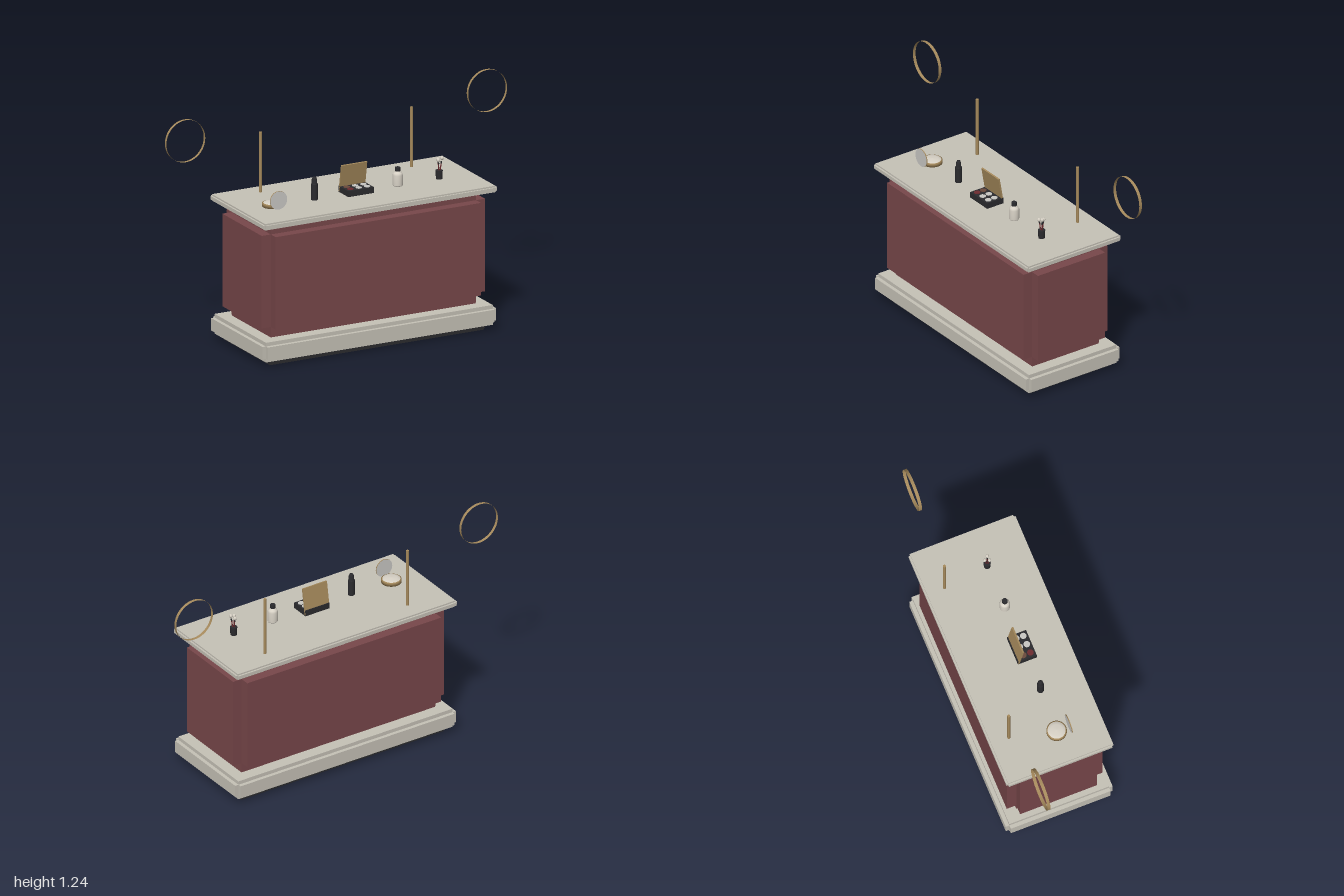
import * as THREE from 'three';

const mat = (name, color, side = THREE.FrontSide) => {
  const m = new THREE.MeshStandardMaterial({ color, side });
  m.name = name;
  return m;
};

export function createModel() {
  const stone = mat('stone', 0xc6c2b7);
  const burgundy = mat('burgundy', 0x78474a);
  const black = mat('black', 0x2b2b2e);
  const gold = mat('gold', 0xa68a5c, THREE.DoubleSide);
  const silver = mat('silver', 0xc9c8c4);
  const cream = mat('cream', 0xd8d2c6);
  const wine = mat('wine', 0x6e2c30);
  const brown = mat('brown', 0x6b4a3c);

  const model = new THREE.Group();
  model.name = 'vanityCounter';

  const add = (parent, name, geo, material, x = 0, y = 0, z = 0) => {
    const mesh = new THREE.Mesh(geo, material);
    mesh.name = name;
    mesh.position.set(x, y, z);
    parent.add(mesh);
    return mesh;
  };
  const group = (name, x, y, z) => {
    const g = new THREE.Group();
    g.name = name;
    g.position.set(x, y, z);
    model.add(g);
    return g;
  };
  const lathe = (pts, n = 24) =>
    new THREE.LatheGeometry(pts.map(([r, y]) => new THREE.Vector2(r, y)), n);

  // Block with stepped edges: three crossing boxes, each full size in one axis
  const steppedBlock = (name, material, hx, y0, y1, hz, sx, sy, sz) => {
    const g = group(name, 0, (y0 + y1) / 2, 0);
    const w = 2 * hx, h = y1 - y0, d = 2 * hz;
    const face = (n, a, b, c) => add(g, name + n, new THREE.BoxGeometry(a, b, c), material);
    face('Sides', w, h - 2 * sy, d - 2 * sz);
    face('TopBottom', w - 2 * sx, h, d - 2 * sz);
    face('FrontBack', w - 2 * sx, h - 2 * sy, d);
  };
  steppedBlock('plinth', black, 0.638, 0, 0.038, 0.26, 0.01, 0.012, 0.01);
  steppedBlock('base', stone, 0.685, 0.028, 0.135, 0.297, 0.02, 0.02, 0.02);
  steppedBlock('body', burgundy, 0.655, 0.14, 0.747, 0.266, 0.053, 0.053, 0.053);
  steppedBlock('countertop', stone, 0.685, 0.747, 0.782, 0.297, 0.01, 0.008, 0.01);
  add(model, 'bodyFoot', new THREE.BoxGeometry(1.2, 0.02, 0.42), burgundy, 0, 0.138, 0);

  // Posts and hoops on both sides
  for (const s of [-1, 1]) {
    add(model, 'post', new THREE.CylinderGeometry(0.008, 0.008, 0.325, 12), gold, s * 0.443, 0.9475, -0.191);
    const hoop = add(model, 'hoop',
      new THREE.CylinderGeometry(0.114, 0.114, 0.017, 48, 1, true), gold, s * 0.885, 1.13, -0.191);
    hoop.rotation.x = Math.PI / 2;
  }

  const top = 0.787;

  // Powder compact with upright mirror
  const compact = group('compact', -0.505, top, 0.05);
  add(compact, 'compactCase', lathe([[0, 0], [0.053, 0], [0.053, 0.018], [0.047, 0.02]]), gold);
  add(compact, 'compactPowder', lathe([[0.047, 0.016], [0.047, 0.02], [0.03, 0.024], [0, 0.026]]), cream);
  const lid = add(compact, 'compactLid', new THREE.CylinderGeometry(0.05, 0.05, 0.004, 32), gold, 0, 0.05, 0.068);
  lid.rotation.x = Math.PI / 2;
  for (const s of [-1, 1]) {
    const mirror = add(compact, 'compactMirror', new THREE.CircleGeometry(0.0495, 32), silver, 0, 0.05, 0.068 + s * 0.003);
    if (s < 0) mirror.rotation.y = Math.PI;
  }

  // Lipstick
  const lipstick = group('lipstick', -0.262, top, 0.058);
  add(lipstick, 'lipstickTube', new THREE.CylinderGeometry(0.018, 0.018, 0.085, 20), black, 0, 0.0425, 0);
  add(lipstick, 'lipstickCap',
    lathe([[0.018, 0.085], [0.014, 0.09], [0.014, 0.11], [0.009, 0.122], [0, 0.124]], 20), black);

  // Eye shadow palette: tray, six pans and a leaning lid
  const palette = group('palette', -0.015, top, 0.055);
  add(palette, 'paletteTray', new THREE.BoxGeometry(0.15, 0.032, 0.105), black, 0, 0.016, 0);
  for (let i = 0; i < 6; i++) {
    const col = i % 3, row = Math.floor(i / 3);
    const color = col > 0 ? silver : row ? wine : brown;
    add(palette, 'pan', new THREE.CylinderGeometry(0.017, 0.017, 0.004, 20), color,
      (col - 1) * 0.049, 0.033, row ? 0.027 : -0.012);
  }
  const paletteLid = add(palette, 'paletteLid',
    new THREE.BoxGeometry(0.15, 0.148, 0.009).translate(0, 0.074, 0), gold, 0, 0.004, -0.048);
  paletteLid.rotation.x = 0.17;

  // Cream bottle
  const bottle = group('bottle', 0.227, top, 0.057);
  add(bottle, 'bottleBody',
    lathe([[0, 0], [0.024, 0], [0.027, 0.005], [0.027, 0.058], [0.023, 0.07], [0.011, 0.078], [0.011, 0.084]]), cream);
  add(bottle, 'bottleCap', new THREE.CylinderGeometry(0.014, 0.014, 0.02, 20), black, 0, 0.09, 0);

  // Brush cup with splayed brushes
  const cup = group('brushCup', 0.47, top, 0.057);
  add(cup, 'cup', new THREE.CylinderGeometry(0.019, 0.017, 0.046, 20), black, 0, 0.023, 0);
  const brushes = [[-0.1, 0.1, 0.104], [0.13, 0.06, 0.112], [0, -0.14, 0.102]];
  for (const [tx, tz, len] of brushes) {
    const brush = new THREE.Group();
    brush.name = 'brush';
    brush.position.y = 0.01;
    brush.rotation.set(tz, 0, -tx);
    cup.add(brush);
    add(brush, 'brushHandle', new THREE.CylinderGeometry(0.003, 0.003, 0.075, 8), wine, 0, 0.0375, 0);
    add(brush, 'brushFerrule', new THREE.CylinderGeometry(0.004, 0.004, 0.012, 8), black, 0, 0.079, 0);
    const tip = add(brush, 'brushTip', new THREE.SphereGeometry(0.009, 12, 8), cream, 0, len - 0.01, 0);
    tip.scale.y = 1.2;
  }
  return model;
}
